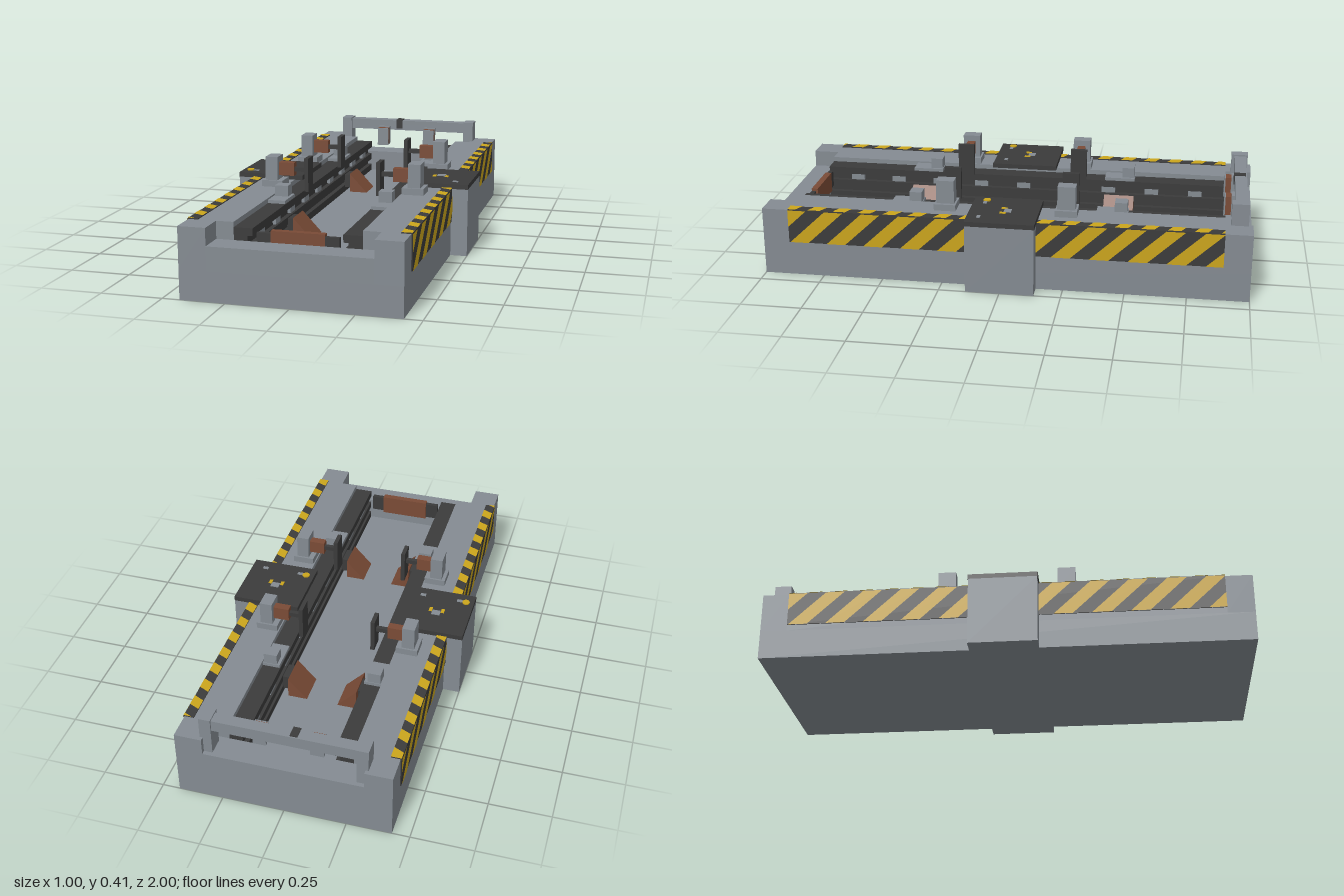
import * as THREE from 'three';

const mat = (name, color, side = THREE.FrontSide) => {
  const m = new THREE.MeshStandardMaterial({ color, side });
  m.name = name;
  return m;
};

export function createModel() {
  const grey = mat('machine grey', 0x848b92);
  const dark = mat('dark steel', 0x3b3b3b);
  const brown = mat('copper brown', 0x7a4b36);
  const yellow = mat('hazard yellow', 0xcba51c, THREE.DoubleSide);
  const model = new THREE.Group();
  model.name = 'machineBed';

  // Box given by its limits on each axis
  const box = (name, m, [x0, x1], [y0, y1], [z0, z1], parent = model) => {
    const mesh = new THREE.Mesh(new THREE.BoxGeometry(x1 - x0, y1 - y0, z1 - z0), m);
    mesh.position.set((x0 + x1) / 2, (y0 + y1) / 2, (z0 + z1) / 2);
    mesh.name = name;
    parent.add(mesh);
    return mesh;
  };
  // Same box on both sides of x = 0
  const pair = (name, m, [x0, x1], y, z) => {
    box(name, m, [x0, x1], y, z);
    box(name, m, [-x1, -x0], y, z);
  };

  // Bed: floor slab, side decks, raised corners and low end walls
  box('floorSlab', grey, [-0.43, 0.43], [0, 0.12], [-1, 1]);
  pair('sideDeck', grey, [0.25, 0.43], [0.12, 0.285], [-0.89, 0.89]);
  for (const z of [[0.89, 1], [-1, -0.89]]) {
    pair('corner', grey, [0.32, 0.43], [0.12, 0.285], z);
    box('endWall', grey, [-0.32, 0.32], [0.12, 0.215], z);
  }

  // Stepped guide rails along the trough, with small clamps
  pair('rail', dark, [0.195, 0.25], [0.12, 0.265], [-0.89, 0.89]);
  for (const y of [0.12, 0.175, 0.235]) pair('railFlange', dark, [0.175, 0.195], [y, y + 0.03], [-0.89, 0.89]);
  for (let i = -4; i <= 4; i++) {
    const z = i * 0.19;
    pair('railClamp', grey, [0.182, 0.195], [0.207, 0.232], [z - 0.03, z + 0.03]);
  }

  // Parallelogram clipped to the length of the hazard strip
  const clip = (pts, limit, sign) => {
    const out = [];
    pts.forEach((p, i) => {
      const q = pts[(i + 1) % pts.length];
      const a = limit - sign * p.x, b = limit - sign * q.x;
      if (a >= 0) out.push(p);
      if (a * b < 0) out.push(p.clone().lerp(q, a / (a - b)));
    });
    return out;
  };
  const stripes = (half, height, period, lean) => {
    const shapes = [];
    for (let u = -half - lean; u < half; u += period) {
      let pts = [[u, 0], [u + period / 2, 0], [u + period / 2 + lean, height], [u + lean, height]]
        .map(([x, y]) => new THREE.Vector2(x, y));
      pts = clip(clip(pts, half, 1), half, -1);
      if (pts.length > 2) shapes.push(new THREE.Shape(pts));
    }
    return new THREE.ShapeGeometry(shapes).rotateY(Math.PI / 2);
  };

  // Hazard strips on the flank and deck edge, turned half round for the other side
  for (const turn of [0, Math.PI]) {
    const strip = new THREE.Group();
    strip.name = 'hazardStrip';
    strip.rotation.y = turn;
    box('flankPlate', dark, [0.43, 0.434], [0.145, 0.285], [-0.89, 0.89], strip);
    box('deckPlate', dark, [0.392, 0.434], [0.285, 0.288], [-0.89, 0.89], strip);
    const flank = new THREE.Mesh(stripes(0.89, 0.14, 0.155, 0.15), yellow);
    flank.name = 'flankStripes';
    flank.position.set(0.436, 0.145, 0);
    const deck = new THREE.Mesh(stripes(0.89, 0.042, 0.105, 0.02).rotateZ(Math.PI / 2), yellow);
    deck.name = 'deckStripes';
    deck.position.set(0.434, 0.29, 0);
    strip.add(flank, deck);
    model.add(strip);
  }

  // Side pedestals with dark control plates
  pair('pedestal', grey, [0.425, 0.5], [0, 0.285], [-0.14, 0.14]);
  pair('controlPlate', dark, [0.215, 0.5], [0.285, 0.305], [-0.142, 0.142]);
  for (const cx of [-0.358, 0.358]) {
    const button = new THREE.Mesh(new THREE.CylinderGeometry(0.016, 0.016, 0.006, 12), yellow);
    button.name = 'button';
    button.position.set(cx - 0.108, 0.307, 0.088);
    model.add(button);
    box('centreMark', grey, [cx - 0.018, cx + 0.018], [0.305, 0.308], [-0.03, 0.0]);
    for (const s of [-1, 1]) {
      box('yellowMark', yellow, [cx + s * 0.026 - 0.007, cx + s * 0.026 + 0.007], [0.305, 0.308], [-0.01, 0.015]);
      box('greyMark', grey, [cx + s * 0.08 - 0.012, cx + s * 0.08 + 0.012], [0.305, 0.308], [0.085, 0.1]);
    }
  }

  // Side clamps: post, pusher block, rod and paddle
  for (const z of [-0.25, 0.25]) {
    pair('postBase', grey, [0.255, 0.345], [0.285, 0.312], [z - 0.045, z + 0.045]);
    pair('post', grey, [0.278, 0.33], [0.312, 0.41], [z - 0.037, z + 0.037]);
    pair('pusherBlock', brown, [0.212, 0.278], [0.33, 0.385], [z - 0.017, z + 0.017]);
    pair('pusherRod', dark, [0.16, 0.212], [0.348, 0.366], [z - 0.009, z + 0.009]);
    pair('paddle', dark, [0.145, 0.162], [0.27, 0.41], [z - 0.035, z + 0.035]);
  }

  // Carriages on the rails carrying sloped wedges
  const wedgeShape = new THREE.Shape([[0.065, 0.125], [0.145, 0.125], [0.145, 0.21]].map(p => new THREE.Vector2(...p)));
  const wedgeGeo = new THREE.ExtrudeGeometry(wedgeShape, { depth: 0.13, bevelEnabled: false }).translate(0, 0, -0.065);
  for (const z of [-0.43, 0.43]) {
    pair('carriage', grey, [0.178, 0.25], [0.265, 0.278], [z - 0.065, z + 0.065]);
    pair('carriageBlock', grey, [0.19, 0.245], [0.278, 0.322], [z - 0.062, z - 0.01]);
    pair('wedgeBracket', dark, [0.145, 0.178], [0.14, 0.2], [z - 0.04, z + 0.04]);
    for (const turn of [0, Math.PI]) {
      const wedge = new THREE.Mesh(wedgeGeo, brown);
      wedge.name = 'wedge';
      wedge.rotation.y = turn;
      wedge.position.z = z;
      model.add(wedge);
    }
  }

  // Front stop plate with its holders
  box('stopPlate', brown, [-0.105, 0.105], [0.175, 0.26], [0.862, 0.889]);
  pair('stopHolder', dark, [0.105, 0.16], [0.18, 0.25], [0.87, 0.889]);

  // Rear crossbeam on two feet, with hanging pads
  box('crossbeam', grey, [-0.325, 0.325], [0.322, 0.37], [-0.975, -0.925]);
  pair('beamFoot', grey, [0.285, 0.332], [0.215, 0.376], [-0.982, -0.912]);
  box('beamStop', dark, [-0.055, -0.025], [0.33, 0.374], [-0.97, -0.92]);
  for (const x of [0.115]) {
    pair('padHanger', grey, [x - 0.027, x + 0.027], [0.25, 0.34], [-0.925, -0.912]);
    pair('pad', brown, [x - 0.025, x + 0.025], [0.255, 0.335], [-0.912, -0.888]);
    pair('padFace', grey, [x - 0.027, x + 0.027], [0.25, 0.335], [-0.888, -0.882]);
  }
  return model;
}
